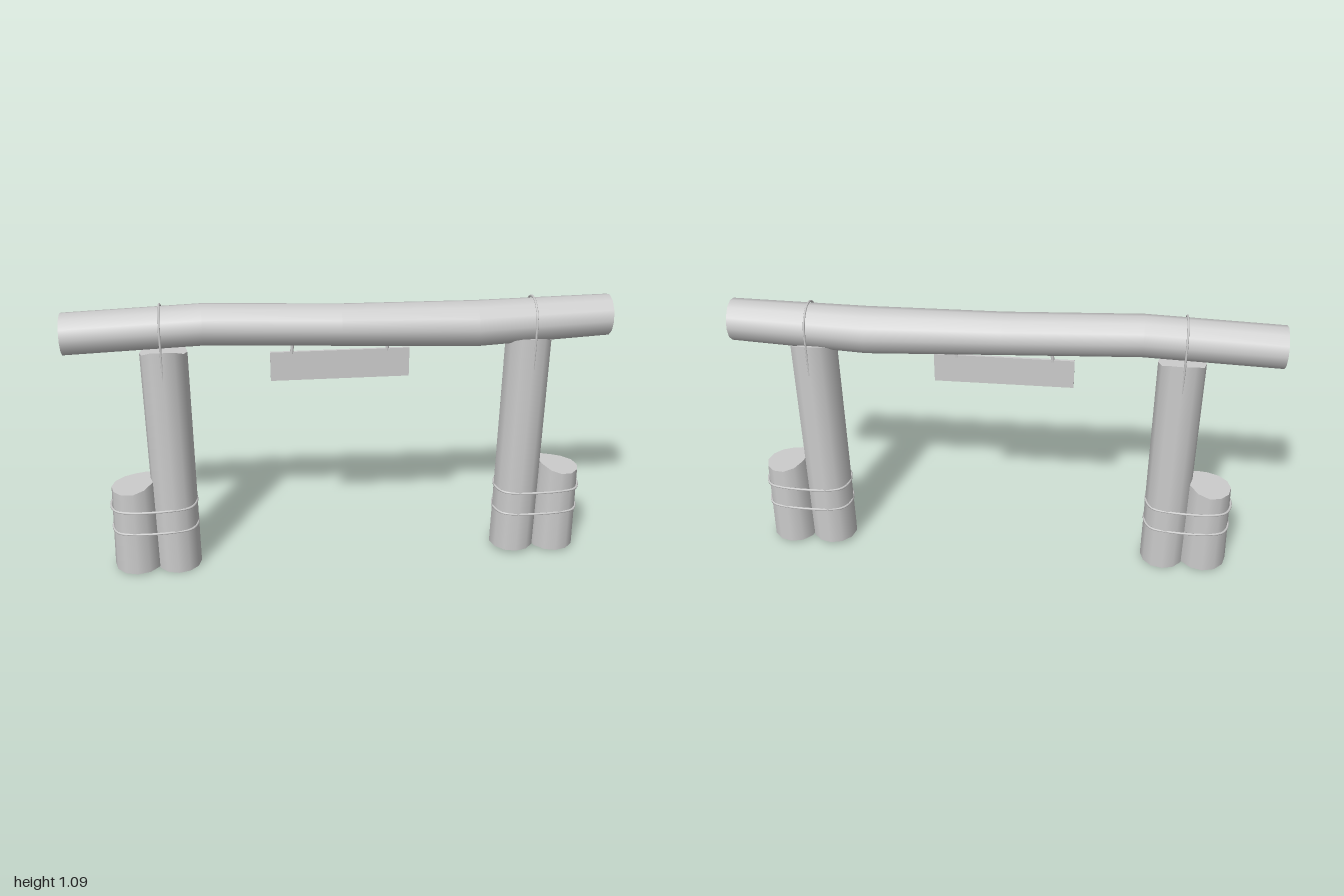
import * as THREE from 'three';

// Double sided because the logs are hollow and open underneath
const grey = new THREE.MeshStandardMaterial({ color: 0xcccccc, side: THREE.DoubleSide });
grey.name = 'plain grey';

function add(parent, name, geometry) {
  const mesh = new THREE.Mesh(geometry, grey);
  mesh.name = name;
  parent.add(mesh);
  return mesh;
}

// Upright log, open at the bottom; top(u, w) gives the height of the cut end
// for u (x) and w (z) running from -1 to 1 across the log.
function uprightLog([xBottom, xTop], [rBottom, rTop], y0, top) {
  const g = new THREE.CylinderGeometry(1, 1, 1, 12, 4);
  const kept = g.groups[0].count + g.groups[1].count;
  g.setIndex(Array.from(g.index.array).slice(0, kept));
  g.clearGroups();
  const p = g.attributes.position;
  for (let i = 0; i < p.count; i++) {
    const u = p.getX(i), w = p.getZ(i), t = p.getY(i) + 0.5;
    const r = THREE.MathUtils.lerp(rBottom, rTop, t);
    p.setXYZ(i, THREE.MathUtils.lerp(xBottom, xTop, t) + u * r, y0 + (top(u, w) - y0) * t, w * r);
  }
  return g;
}

// Crossbeam: a slightly crooked log of four lengths, [height, radius] at each joint
function beamGeometry() {
  const joints = [[0.989, 0.077], [1.007, 0.077], [0.987, 0.078], [0.974, 0.086], [0.991, 0.077]];
  const g = new THREE.CylinderGeometry(1, 1, 2, 12, 4);
  g.rotateZ(-Math.PI / 2);
  const p = g.attributes.position;
  for (let i = 0; i < p.count; i++) {
    const [y, r] = joints[Math.round((p.getX(i) + 1) * 2)];
    p.setXYZ(i, p.getX(i), y + p.getY(i) * r, p.getZ(i) * r);
  }
  return g;
}

// Rope arched over the beam, its ends sinking into the post
function beamTie(x, yTop, yEnd) {
  const points = [];
  const yc = yTop - 0.089;
  points.push(new THREE.Vector3(x, yEnd, 0.083), new THREE.Vector3(x, yc - 0.06, 0.086));
  for (let i = 0; i <= 8; i++) {
    const a = (i / 8) * Math.PI;
    points.push(new THREE.Vector3(x, yc + Math.sin(a) * 0.085, Math.cos(a) * 0.085));
  }
  points.push(new THREE.Vector3(x, yc - 0.06, -0.086), new THREE.Vector3(x, yEnd, -0.083));
  return new THREE.TubeGeometry(new THREE.CatmullRomCurve3(points), 40, 0.004, 6);
}

// Rope loop round two logs given as [x, radius], the one further along +x first;
// it bites into the logs at the crests and stands proud at the corners
function stumpTie(logs, y) {
  const points = [];
  logs.forEach(([x, r], side) => {
    [-0.004, 0.002, -0.002, 0.002, -0.004].forEach((proud, i) => {
      const a = (side - 0.5 + i / 4) * Math.PI;
      points.push(new THREE.Vector3(x + Math.cos(a) * (r + proud), y, Math.sin(a) * (r + proud)));
    });
  });
  const path = new THREE.CatmullRomCurve3(points, true);
  return new THREE.TubeGeometry(path, 56, 0.005, 6, true);
}

export function createModel() {
  const model = new THREE.Group();
  model.name = 'logGateway';
  add(model, 'crossbeam', beamGeometry());

  const sides = [
    { name: 'right', out: -1, post: [-0.647, -0.647], postR: [0.087, 0.087], postY: 0.002,
      stump: [-0.806, -0.798], stumpR: [0.094, 0.087], stumpY: 0.01,
      tieX: -0.65, tieTop: 1.088, tieEnd: 0.825, tied: [[-0.647, 0.087], [-0.803, 0.091]] },
    { name: 'left', out: 1, post: [0.702, 0.706], postR: [0.089, 0.087], postY: 0.02,
      stump: [0.867, 0.864], stumpR: [0.089, 0.084], stumpY: 0.013,
      tieX: 0.711, tieTop: 1.073, tieEnd: 0.815, tied: [[0.866, 0.087], [0.703, 0.088]] },
  ];
  for (const s of sides) {
    const support = new THREE.Group();
    support.name = s.name + 'Support';
    model.add(support);
    // Tall post with a saddle cut for the beam
    add(support, 'post', uprightLog(s.post, s.postR, s.postY,
      (u, w) => 0.903 + 0.033 * Math.min(1, 1.15 * w * w)));
    // Short stump, its top rising towards the post
    add(support, 'stump', uprightLog(s.stump, s.stumpR, s.stumpY,
      (u) => 0.357 + 0.042 * ((1 - u * s.out) / 2) ** 3));
    add(support, 'beamTie', beamTie(s.tieX, s.tieTop, s.tieEnd));
    for (const y of [0.188, 0.284]) add(support, 'stumpTie', stumpTie(s.tied, y));
  }

  // Hanging board and its two short hangers
  add(model, 'board', new THREE.BoxGeometry(0.517, 0.113, 0.01)).position.set(-0.002, 0.832, 0);
  for (const x of [-0.178, 0.175]) {
    const hanger = add(model, 'hanger', new THREE.CylinderGeometry(0.007, 0.007, 0.07, 6));
    hanger.position.set(x, 0.915, 0);
    hanger.rotation.z = -0.08;
  }
  return model;
}
